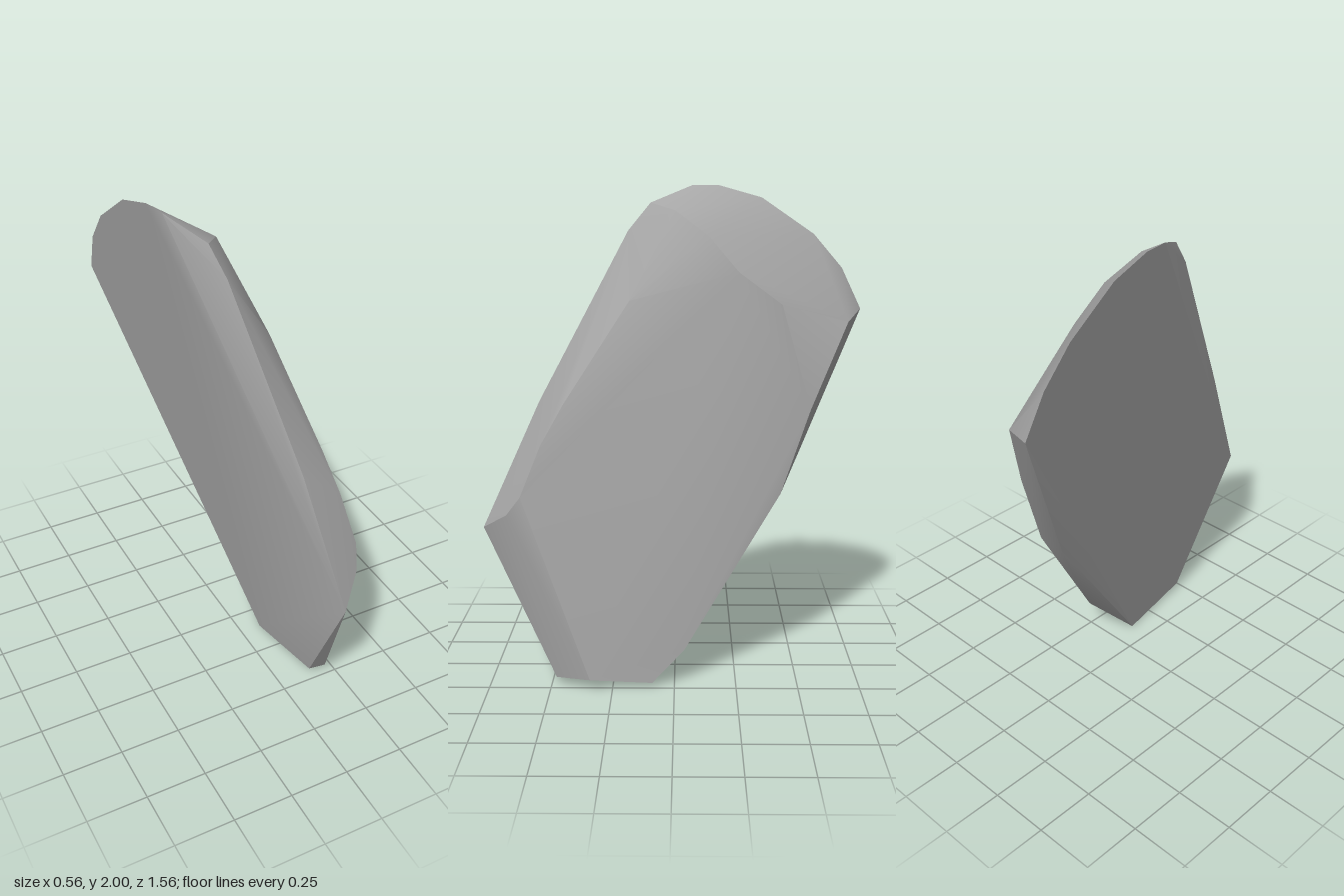
import * as THREE from 'three';
import { ConvexGeometry } from 'three/addons/geometries/ConvexGeometry.js';
import { toCreasedNormals } from 'three/addons/utils/BufferGeometryUtils.js';

// x of the flat slanted side at a given height and depth
const flatX = (y, z) => -0.265 - 0.153 * (y - 1.49) + 0.144 * (z + 0.78);

export function createModel() {
  const stone = new THREE.MeshStandardMaterial({ color: 0xa6a6a6 });
  stone.name = 'stone grey';

  // outline of the flat side: y, z
  const flatSide = [
    [0.63, 0.78], [0.03, 0.47], [0, 0.11], [1.49, -0.78], [1.66, -0.7],
    [1.8, -0.58], [1.95, -0.36], [2, -0.18], [2, -0.07],
  ].map(([y, z]) => [flatX(y, z), y, z]);

  // rounded shoulder over the top
  const shoulder = [
    [-0.14, 1.93, 0.1], [-0.06, 1.9, 0], [0, 1.8, -0.135],
    [0.04, 1.66, -0.255], [0.02, 1.53, -0.43], [-0.1, 1.45, -0.71],
  ];

  // front bevel, from the top down to the nose
  const frontBevel = [
    [-0.11, 1.82, 0.19], [0.02, 1.14, 0.55], [0.07, 1.55, 0.18],
    [0.165, 1.15, 0.44], [0.2, 0.99, 0.53], [0.235, 0.79, 0.61], [0.205, 0.71, 0.67],
  ];

  // back bevel, from the top down to the foot
  const backBevel = [
    [0.04, 1.11, -0.55], [0.08, 0.77, -0.43], [-0.02, 0.74, -0.41], [0.215, 0.15, -0.04],
  ];

  // small standing face
  const foot = [[0.21, 0.03, 0.48], [0.28, 0.045, 0.34], [0.245, 0.02, 0.09]];

  const points = [...flatSide, ...shoulder, ...frontBevel, ...backBevel, ...foot]
    .map((p) => new THREE.Vector3(...p));
  const rock = new THREE.Mesh(toCreasedNormals(new ConvexGeometry(points), 0.52), stone);
  rock.name = 'rockSlab';

  const group = new THREE.Group();
  group.name = 'rock';
  group.add(rock);
  return group;
}
